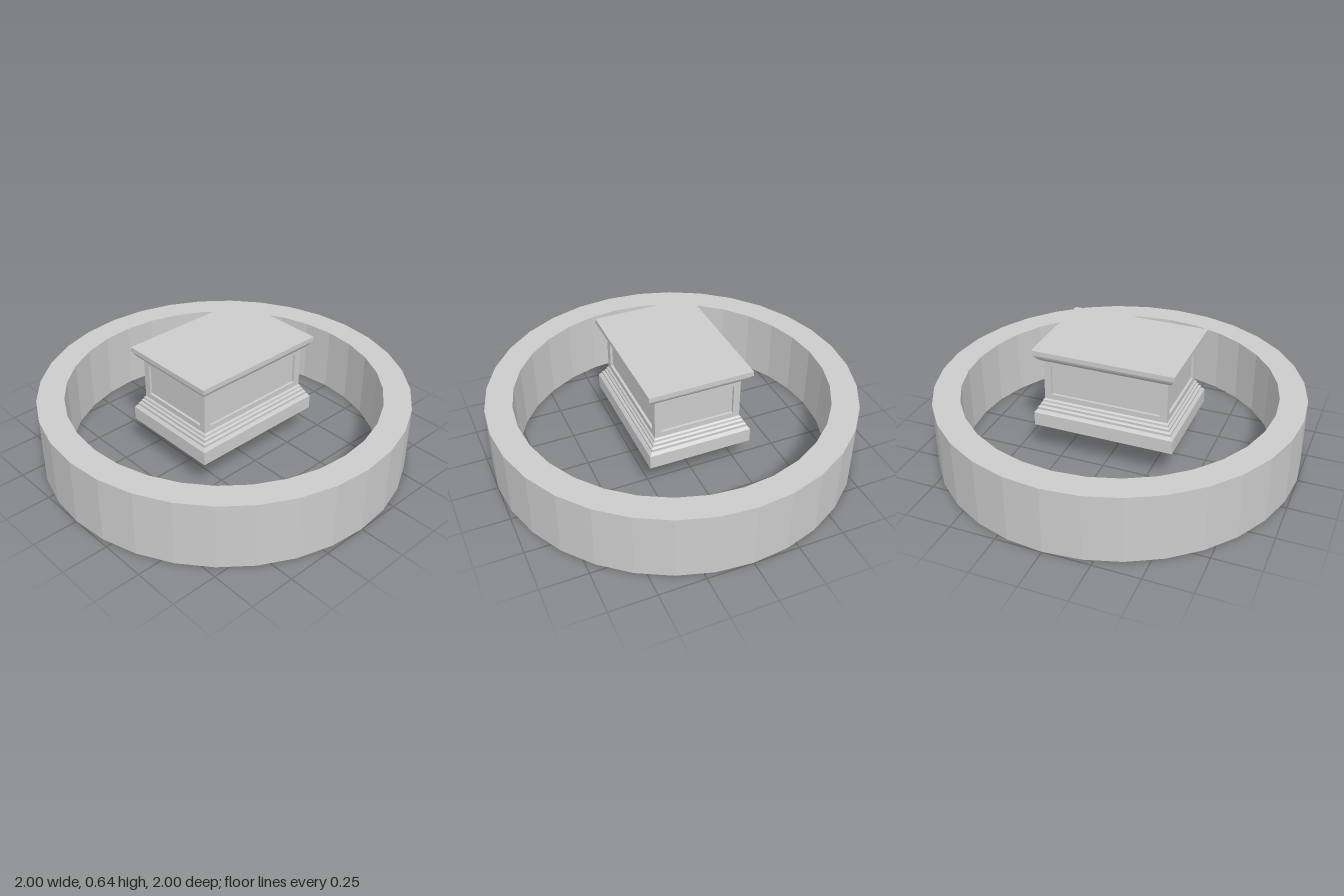
import * as THREE from 'three';

const material = new THREE.MeshStandardMaterial({ color: 0xcccccc, flatShading: true });
const HALF_X = 0.283, HALF_Z = 0.388; // widest half sizes of the pedestal
const BODY_INSET = 0.046, FRAME = 0.014;

function addMesh(parent, name, geometry) {
  const mesh = new THREE.Mesh(geometry, material);
  mesh.name = name;
  parent.add(mesh);
  return mesh;
}

// Closed stack of rectangles, each level given as [inset, y], bottom to top
function moulding(levels) {
  const positions = [], index = [];
  for (const [inset, y] of levels) {
    const x = HALF_X - inset, z = HALF_Z - inset;
    positions.push(x, y, z, x, y, -z, -x, y, -z, -x, y, z);
  }
  for (let l = 0; l < levels.length - 1; l++) {
    for (let i = 0; i < 4; i++) {
      const a = l * 4 + i, b = l * 4 + (i + 1) % 4;
      index.push(a, b, b + 4, a, b + 4, a + 4);
    }
  }
  const t = (levels.length - 1) * 4;
  index.push(t, t + 1, t + 2, t, t + 2, t + 3, 0, 2, 1, 0, 3, 2);
  const indexed = new THREE.BufferGeometry();
  indexed.setAttribute('position', new THREE.Float32BufferAttribute(positions, 3));
  indexed.setIndex(index);
  const geometry = indexed.toNonIndexed();
  geometry.computeVertexNormals();
  return geometry;
}

// Flat frame with a rectangular opening, its back on z = 0
function frameGeometry(half, bottom, top, holeHalf, holeBottom, holeTop) {
  const rect = (path, h, b, t) =>
    path.moveTo(-h, b).lineTo(h, b).lineTo(h, t).lineTo(-h, t).closePath();
  const shape = rect(new THREE.Shape(), half, bottom, top);
  shape.holes.push(rect(new THREE.Path(), holeHalf, holeBottom, holeTop));
  return new THREE.ExtrudeGeometry(shape, { depth: FRAME, bevelEnabled: false });
}

export function createModel() {
  const model = new THREE.Group();
  model.name = 'ringedPedestal';

  // Surrounding ring wall
  const profile = [[1, 0], [1, 0.37], [0.854, 0.37], [0.854, 0], [1, 0]]
    .map(([x, y]) => new THREE.Vector2(x, y));
  addMesh(model, 'ringWall', new THREE.LatheGeometry(profile, 32));

  // Pedestal raised inside the ring
  const pedestal = new THREE.Group();
  pedestal.name = 'pedestal';
  pedestal.position.z = 0.008;
  model.add(pedestal);

  // Plinth with stepped base moulding
  addMesh(pedestal, 'base', moulding([
    [0, 0.195], [0, 0.272], [0.012, 0.287], [0.016, 0.287], [0.016, 0.3],
    [0.024, 0.307], [0.028, 0.307], [0.028, 0.319], [0.036, 0.326],
    [0.038, 0.338], [BODY_INSET, 0.345],
  ]));

  // Body core, whose faces show as the sunken panels
  const core = BODY_INSET + FRAME;
  addMesh(pedestal, 'bodyCore', moulding([[core, 0.335], [core, 0.585]]));

  // Raised frames around the four panels
  const bx = HALF_X - BODY_INSET, bz = HALF_Z - BODY_INSET;
  const endFrame = frameGeometry(bx, 0.335, 0.585, 0.2, 0.375, 0.545);
  const sideFrame = frameGeometry(bz - FRAME, 0.335, 0.585, 0.302, 0.375, 0.545);
  for (const [name, geometry, angle, distance] of [
    ['frontFrame', endFrame, 0, bz], ['leftFrame', sideFrame, Math.PI / 2, bx],
    ['backFrame', endFrame, Math.PI, bz], ['rightFrame', sideFrame, -Math.PI / 2, bx],
  ]) {
    const frame = addMesh(pedestal, name, geometry);
    frame.rotation.y = angle;
    frame.position.set(Math.sin(angle), 0, Math.cos(angle)).multiplyScalar(distance - FRAME);
  }

  // Flaring cap slab
  addMesh(pedestal, 'cap', moulding([
    [0.041, 0.573], [0.034, 0.577], [0.022, 0.588], [0.012, 0.6],
    [0.006, 0.614], [0, 0.617], [0, 0.643],
  ]));

  return model;
}
